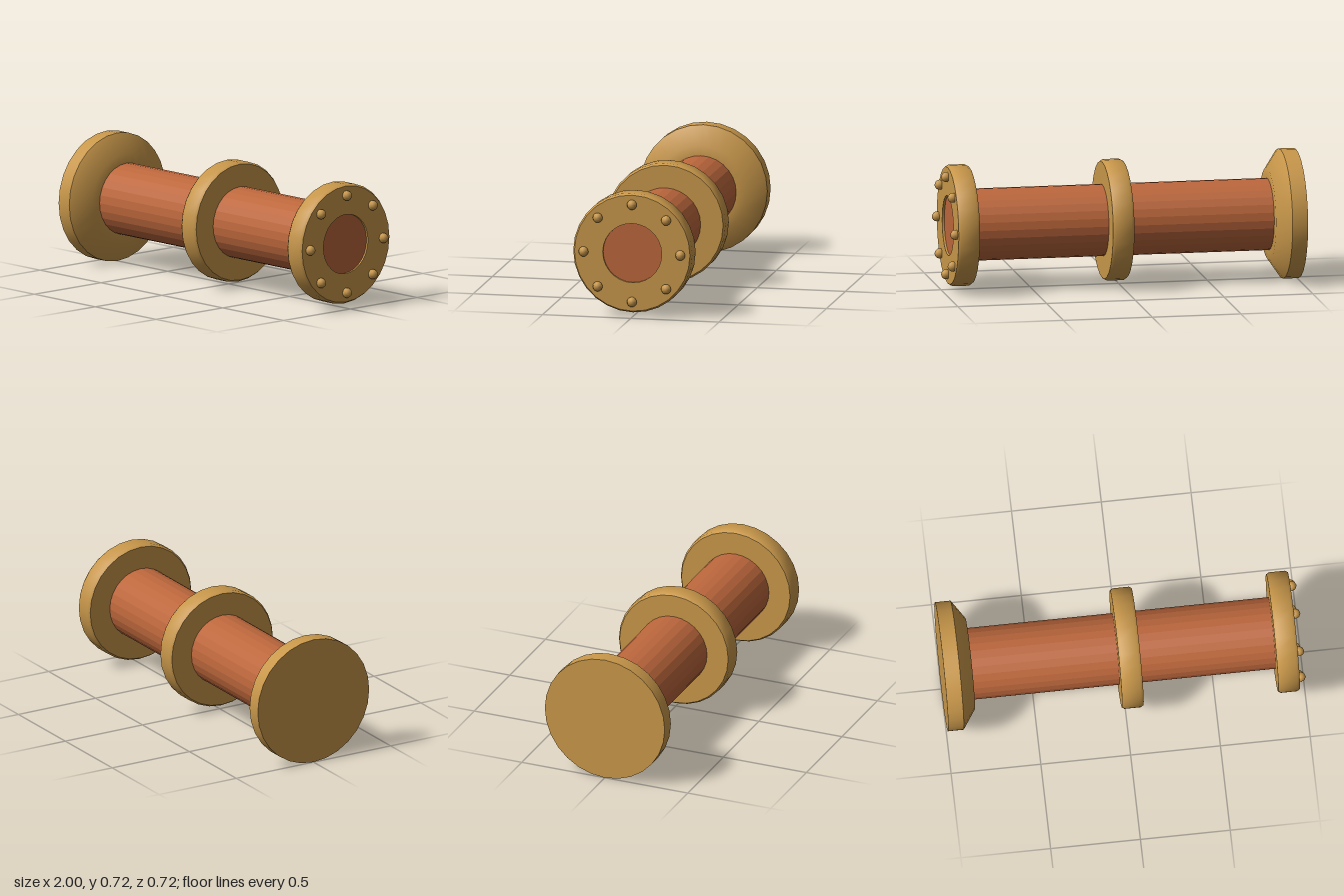
import * as THREE from 'three';
import { toCreasedNormals } from 'three/addons/utils/BufferGeometryUtils.js';

const SIDES = 28;
const AXIS_Y = 0.362;

export function createModel() {
  const brass = new THREE.MeshStandardMaterial({ color: 0xc8974a });
  brass.name = 'brass';
  const copper = new THREE.MeshStandardMaterial({ color: 0xbc673c });
  copper.name = 'copper';

  const model = new THREE.Group();
  model.name = 'pipe';

  const add = (name, geometry, material, x = 0, y = AXIS_Y, z = 0) => {
    const mesh = new THREE.Mesh(geometry, material);
    mesh.name = name;
    mesh.position.set(x, y, z);
    model.add(mesh);
  };

  // Turned solid along x from [radius, x] pairs
  const turned = (profile) => {
    const points = profile.map(([r, x]) => new THREE.Vector2(r, x));
    const geometry = new THREE.LatheGeometry(points, SIDES).rotateZ(-Math.PI / 2);
    return toCreasedNormals(geometry, 0.65);
  };

  // Ring with slightly bevelled rims and an open bore
  const ring = (bore) => turned([
    [bore, -0.06], [0.327, -0.06], [0.337, -0.045],
    [0.337, 0.045], [0.327, 0.06], [bore, 0.06], [bore, -0.06],
  ]);

  // Faceted tube, ending just inside the end ring
  const tube = new THREE.CylinderGeometry(0.2, 0.2, 1.85, SIDES).rotateZ(-Math.PI / 2);
  add('tube', toCreasedNormals(tube, 0.1), copper, 0.025);

  // Solid foot flange with a sloped shoulder
  add('footFlange', turned([
    [0, -1], [0.361, -1], [0.361, -0.913], [0.255, -0.84], [0.19, -0.84],
  ]), brass);

  add('middleRing', ring(0.167), brass, 0.032);
  add('endRing', ring(0.167), brass, 0.902);

  // Rivets around the end ring
  const rivet = new THREE.SphereGeometry(0.028, 8, 8);
  for (let i = 0; i < 8; i++) {
    const a = (i * Math.PI) / 4;
    add('rivet', rivet, brass, 0.972, AXIS_Y + 0.274 * Math.sin(a), 0.274 * Math.cos(a));
  }

  return model;
}
